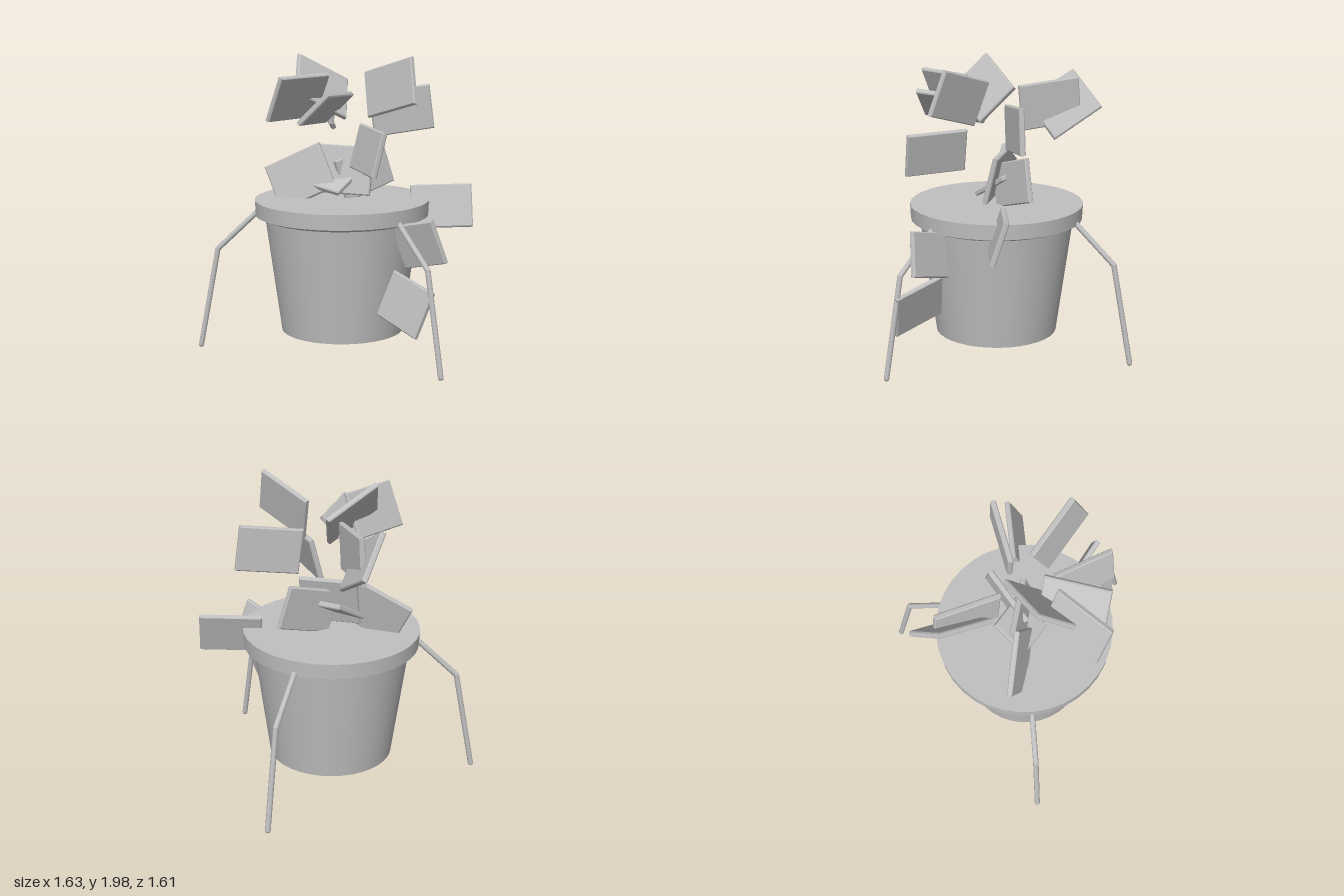
import * as THREE from 'three';

const V = (x, y, z) => new THREE.Vector3(x, y, z);
const CX = -0.15, CZ = 0.07; // pot axis
const TILE_THICKNESS = 0.036;

// Each tile: a corner, then the two neighbouring corners along its long and short sides
const TILES = [
  // upper cluster
  [[-0.74, 1.86, -0.04], [-0.41, 1.67, 0.07], [-0.81, 1.62, -0.25]],
  [[-0.67, 1.83, -0.15], [-0.29, 1.79, 0.02], [-0.71, 1.53, -0.16]],
  [[-0.29, 1.98, 0.34], [-0.22, 1.80, -0.01], [-0.12, 1.73, 0.45]],
  [[-0.05, 1.86, 0.26], [-0.02, 1.86, 0.67], [-0.18, 1.58, 0.27]],
  [[0.01, 1.86, -0.01], [0.41, 1.98, -0.05], [0.07, 1.57, 0.04]],
  [[0.00, 1.73, 0.11], [0.20, 1.76, 0.48], [-0.17, 1.54, 0.20]],
  [[-0.08, 1.71, -0.10], [0.12, 1.76, -0.45], [-0.06, 1.42, -0.14]],
  [[0.09, 1.54, 0.10], [0.47, 1.53, 0.24], [0.05, 1.26, 0.16]],
  // lower cluster
  [[-0.60, 1.20, 0.37], [-0.30, 1.38, 0.15], [-0.44, 0.93, 0.34]],
  [[-0.32, 1.37, 0.13], [0.00, 1.36, -0.08], [-0.29, 1.06, 0.20]],
  [[-0.33, 1.24, -0.02], [-0.08, 1.21, -0.06], [-0.31, 1.10, 0.22]],
  [[-0.12, 1.38, -0.26], [-0.17, 1.27, 0.11], [-0.09, 1.10, -0.32]],
  // hanging beside the pot
  [[0.11, 1.10, -0.28], [0.37, 1.11, -0.59], [0.20, 0.83, -0.25]],
  [[0.63, 0.98, 0.00], [0.31, 0.90, 0.05], [0.70, 0.71, -0.08]],
  [[0.35, 0.62, 0.05], [0.72, 0.54, 0.06], [0.29, 0.33, 0.14]],
];

// Slab with narrow chamfered edges, centred on its own origin
function tileGeometry(w, h) {
  const b = 0.007, x = w / 2 - b, y = h / 2 - b;
  const s = new THREE.Shape([
    new THREE.Vector2(-x, -y), new THREE.Vector2(x, -y),
    new THREE.Vector2(x, y), new THREE.Vector2(-x, y),
  ]);
  const depth = TILE_THICKNESS - 2 * b;
  const g = new THREE.ExtrudeGeometry(s, {
    depth, bevelEnabled: true, bevelSize: b, bevelThickness: b, bevelSegments: 1,
  });
  return g.translate(0, 0, -depth / 2);
}

function makeTile([a, b, c], material) {
  const A = V(...a);
  const u = V(...b).sub(A), v = V(...c).sub(A);
  const centre = A.clone().addScaledVector(u, 0.5).addScaledVector(v, 0.5);
  const mesh = new THREE.Mesh(tileGeometry(u.length(), v.length()), material);
  // square the frame so the tile stays rectangular
  const ux = u.clone().normalize();
  const n = u.clone().cross(v).normalize();
  const vy = n.clone().cross(ux);
  mesh.quaternion.setFromRotationMatrix(new THREE.Matrix4().makeBasis(ux, vy, n));
  mesh.position.copy(centre);
  return mesh;
}

// Round-ended rod between two points
function rod(a, b, radius, material) {
  const d = b.clone().sub(a);
  const mesh = new THREE.Mesh(new THREE.CapsuleGeometry(radius, d.length(), 5, 12), material);
  mesh.position.copy(a).add(b).multiplyScalar(0.5);
  mesh.quaternion.setFromUnitVectors(V(0, 1, 0), d.normalize());
  return mesh;
}

export function createModel() {
  const grey = new THREE.MeshStandardMaterial({ color: 0xc0c0c0 });
  grey.name = 'grey';
  const model = new THREE.Group();
  model.name = 'tiledPlanter';

  // Pot: tapered body, small flare, then a closed rim
  const pot = new THREE.Group();
  pot.name = 'pot';
  for (const [name, top, bottom, y0, y1] of [
    ['potBody', 0.51, 0.405, 0.14, 0.91],
    ['rimFlare', 0.555, 0.52, 0.9, 0.92],
    ['rim', 0.575, 0.57, 0.92, 1.02],
  ]) {
    const mesh = new THREE.Mesh(new THREE.CylinderGeometry(top, bottom, y1 - y0, 36), grey);
    mesh.name = name;
    mesh.position.set(CX, (y0 + y1) / 2, CZ);
    pot.add(mesh);
  }
  model.add(pot);

  // Three bent legs around the pot
  for (const degrees of [0, 131, 245]) {
    const t = THREE.MathUtils.degToRad(degrees);
    const at = (r, y) => V(CX + r * Math.cos(t), y, CZ + r * Math.sin(t));
    const leg = new THREE.Group();
    leg.name = 'leg';
    leg.add(rod(at(0.56, 0.93), at(0.825, 0.68), 0.018, grey));
    leg.add(rod(at(0.825, 0.68), at(0.95, 0.02), 0.018, grey));
    model.add(leg);
  }

  // Scattered tiles above and beside the pot
  const tiles = new THREE.Group();
  tiles.name = 'tiles';
  TILES.forEach((corners, i) => {
    const tile = makeTile(corners, grey);
    tile.name = `tile${i + 1}`;
    tiles.add(tile);
  });
  model.add(tiles);

  return model;
}
